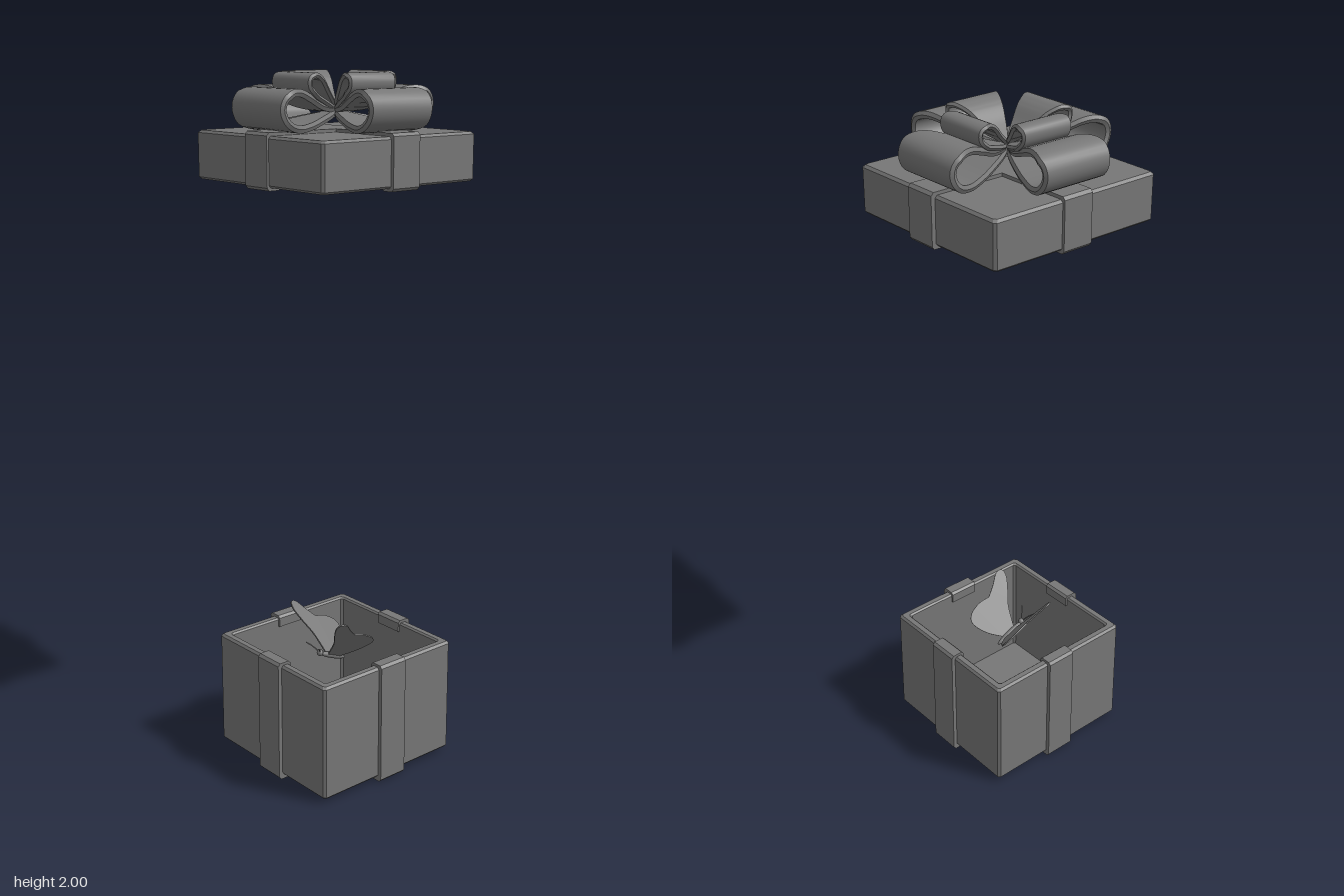
import * as THREE from 'three';
import { toCreasedNormals } from 'three/addons/utils/BufferGeometryUtils.js';

const grey = new THREE.MeshStandardMaterial({ color: 0x777777 });
const greyThin = new THREE.MeshStandardMaterial({ color: 0x777777, side: THREE.DoubleSide });

function part(name, geometry, parent, material = grey) {
  const mesh = new THREE.Mesh(geometry, material);
  mesh.name = name;
  parent.add(mesh);
  return mesh;
}

function group(name, parent) {
  const g = new THREE.Group();
  g.name = name;
  parent.add(g);
  return g;
}

// Skin a list of equal-length closed rings of [x, y, z] points
function loft(rings, crease) {
  const pos = [];
  for (let i = 0; i < rings.length - 1; i++) {
    const n = rings[i].length;
    for (let k = 0; k < n; k++) {
      const a = rings[i][k], b = rings[i + 1][k];
      const c = rings[i + 1][(k + 1) % n], d = rings[i][(k + 1) % n];
      pos.push(...a, ...b, ...c, ...a, ...c, ...d);
    }
  }
  const g = new THREE.BufferGeometry();
  g.setAttribute('position', new THREE.Float32BufferAttribute(pos, 3));
  g.computeVertexNormals();
  return crease ? toCreasedNormals(g, crease) : g;
}

// Square shell with chamfered upright edges from a [half width, y] profile
function squareShell(profile, chamfer = 0.007) {
  return loft(profile.map(([h, y]) => {
    const c = Math.max(h - chamfer, 0);
    return [[h, y, c], [c, y, h], [-c, y, h], [-h, y, c],
      [-h, y, -c], [-c, y, -h], [c, y, -h], [h, y, -c]];
  }));
}

// Ribbon band: goes round the closed end and folds over the open rim
function ribbonBand(half, height, lift, flip) {
  const side = [
    [half - 0.008, 0], [half, 0.008], [half, height - 0.008], [half - 0.007, height],
    [half - 0.038, height], [half - 0.045, height - 0.007], [half - 0.045, height - 0.035],
    [half - 0.03, height - 0.035], [half - 0.025, height - 0.018], [half - 0.025, 0.02],
  ];
  const outline = [...side, ...side.map(([x, y]) => [-x, y]).reverse()];
  const shape = new THREE.Shape(outline.map(([x, y]) => new THREE.Vector2(x, flip ? lift - y : lift + y)));
  return new THREE.ExtrudeGeometry(shape, { depth: 0.093, bevelEnabled: false }).translate(0, 0, -0.0465);
}

// Two crossing bands, each a little off the middle
function addBands(parent, half, height, lift, flip, xOff, zOff) {
  part('ribbonAcross', ribbonBand(half, height, lift, flip), parent).position.z = zOff;
  const along = part('ribbonAlong', ribbonBand(half, height, lift, flip), parent);
  along.rotation.y = Math.PI / 2;
  along.position.x = xOff;
}

// Bow loop: a flat strip widening outwards, swept along a teardrop path
function bowLoop(points, reach, halfWidth, thick) {
  const curve = new THREE.CatmullRomCurve3(points.map(([r, y]) => new THREE.Vector3(r, y, 0)));
  const rings = [];
  for (let i = 0; i <= 56; i++) {
    const p = curve.getPointAt(i / 56), t = curve.getTangentAt(i / 56);
    const r = Math.max(p.x, 0.0005) / reach;
    const w = halfWidth * Math.pow(r, 0.75) * (1 - Math.max(0, r - 0.92));
    const nx = -t.y * thick / 2, ny = t.x * thick / 2;
    const e = Math.max(w - 0.005, w * 0.5);
    rings.push([
      [p.x + nx, p.y + ny, e], [p.x + nx, p.y + ny, -e], [p.x, p.y, -w],
      [p.x - nx, p.y - ny, -e], [p.x - nx, p.y - ny, e], [p.x, p.y, w],
    ]);
  }
  return loft(rings, 0.6);
}

function addButterfly(parent) {
  const fly = group('butterfly', parent);
  fly.position.y = 0.3;
  fly.rotation.x = -0.4;
  // Fore and hind wing in one outline, tilted up in a V
  const outline = new THREE.Shape();
  outline.moveTo(0, 0.03);
  outline.splineThru([[0.062, 0.063], [0.105, 0.1], [0.138, 0.125], [0.162, 0.128], [0.168, 0.108],
    [0.145, 0.07], [0.128, 0.036]].map((p) => new THREE.Vector2(...p)));
  outline.splineThru([[0.134, 0.01], [0.134, -0.015], [0.125, -0.045], [0.1, -0.06], [0.05, -0.045],
    [0, -0.01]].map((p) => new THREE.Vector2(...p)));
  for (const s of [1, -1]) {
    const g = new THREE.ExtrudeGeometry(outline, { depth: 0.004, bevelEnabled: false, curveSegments: 18 });
    g.rotateX(Math.PI / 2).rotateZ(0.8);
    part(s > 0 ? 'leftWing' : 'rightWing', g, fly, greyThin).scale.x = s;
    // Antenna
    const feeler = new THREE.QuadraticBezierCurve3(new THREE.Vector3(0, 0, 0.06),
      new THREE.Vector3(s * 0.01, 0.015, 0.08), new THREE.Vector3(s * 0.03, 0.02, 0.1));
    part('antenna', new THREE.TubeGeometry(feeler, 8, 0.002, 5), fly);
  }
  part('body', new THREE.SphereGeometry(1, 14, 10).scale(0.009, 0.009, 0.055).translate(0, 0, 0.01), fly);
  part('head', new THREE.SphereGeometry(0.01, 12, 8).translate(0, 0.002, 0.062), fly);
}

export function createModel() {
  const model = new THREE.Group();
  model.name = 'openGiftBox';

  // Open box with folded ribbon and a butterfly inside
  const box = group('box', model);
  box.position.set(0.024, 0, 0.0235);
  part('boxShell', squareShell([[0, 0.012], [0.237, 0.012], [0.244, 0.019], [0.244, 0.353],
    [0.238, 0.36], [0.222, 0.36], [0.217, 0.355], [0.217, 0.03], [0, 0.03]]), box);
  addBands(box, 0.256, 0.368, 0, false, 0.007, -0.005);
  addButterfly(box);

  // Floating lid, hollow from below
  const lid = group('lid', model);
  part('lidShell', squareShell([[0, 1.825], [0.245, 1.825], [0.245, 1.715], [0.25, 1.71],
    [0.264, 1.71], [0.27, 1.716], [0.27, 1.836], [0.263, 1.843], [0, 1.843]]), lid);
  const bands = group('lidRibbon', lid);
  bands.position.set(0.001, 0, -0.003);
  addBands(bands, 0.279, 0.15, 1.852, true, 0.004, -0.003);

  // Bow: four large loops below four small raised loops
  const bow = group('bow', lid);
  const large = [[0, 1.9], [0.08, 1.912], [0.14, 1.934], [0.19, 1.95], [0.225, 1.95], [0.252, 1.935],
    [0.261, 1.908], [0.245, 1.875], [0.2, 1.859], [0.14, 1.862], [0.07, 1.876], [0, 1.89]];
  const small = [[0, 1.91], [0.05, 1.945], [0.09, 1.98], [0.125, 1.993], [0.147, 1.985], [0.147, 1.962],
    [0.125, 1.942], [0.08, 1.925], [0.04, 1.912], [0, 1.9]];
  for (let i = 0; i < 4; i++) {
    part('largeLoop', bowLoop(large, 0.261, 0.118, 0.02), bow).rotation.y = i * Math.PI / 2;
    part('smallLoop', bowLoop(small, 0.147, 0.088, 0.014), bow).rotation.y = i * Math.PI / 2;
  }
  return model;
}
